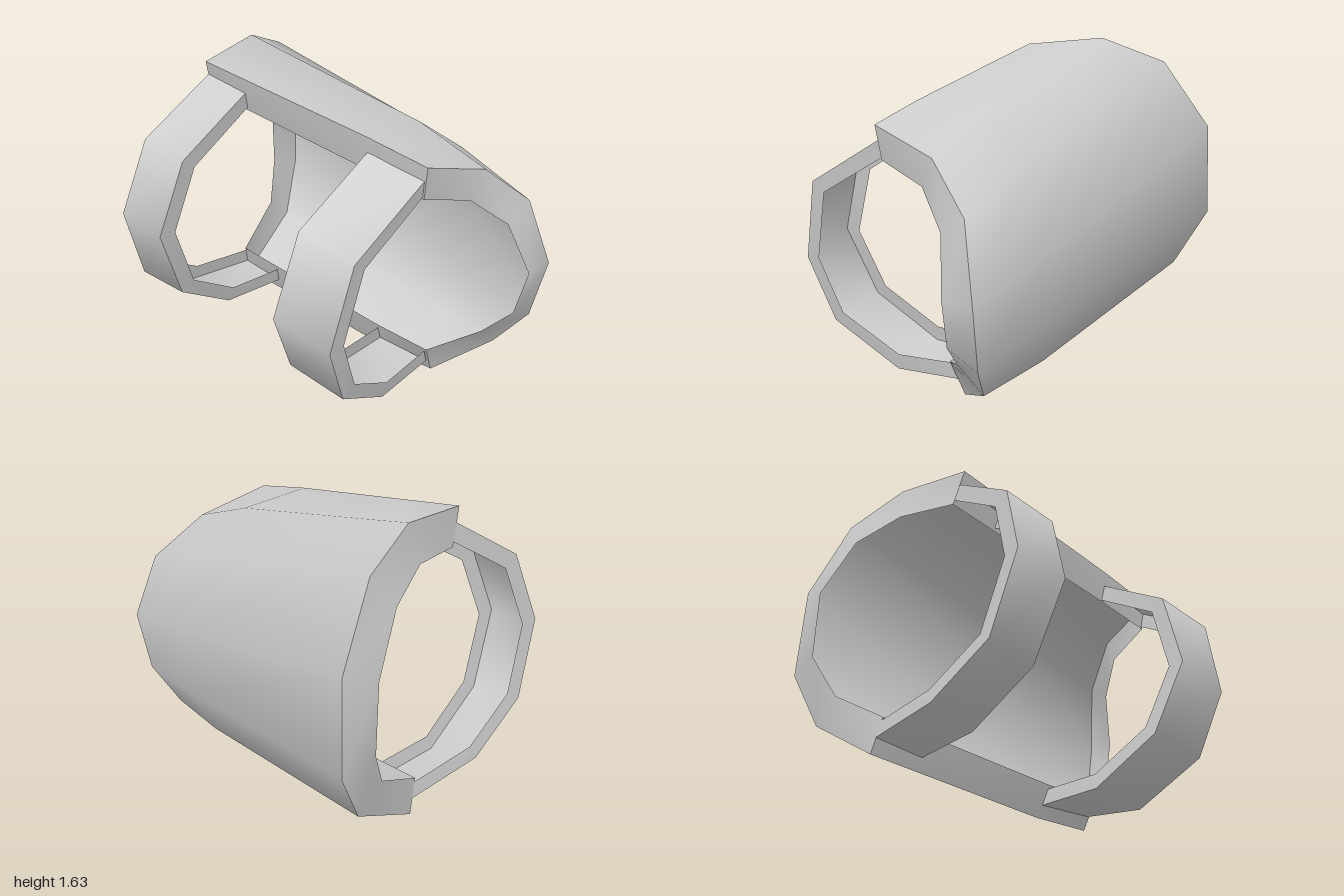
import * as THREE from 'three';
import { toCreasedNormals } from 'three/addons/utils/BufferGeometryUtils.js';

const material = new THREE.MeshStandardMaterial({ color: 0xcccccc, side: THREE.DoubleSide });

// Moves a point towards the tube's slightly tilted axis (z = 0, y = axisY)
function inset([x, y, z], axisY, f) {
  const dy = (axisY - y) * (1 - f);
  return [x + 0.15 * dy, y + dy, z * f];
}

// Hollow curved band: an outer skin lofted through outlines placed side by side,
// with inward flanges along both sides and, if wanted, lips across its two ends
function band(name, f, outlines, lips) {
  const w = outlines.length;
  const inner = outlines.map((o) => o.points.map((p) => inset(p, o.axisY, f)));
  const outer = outlines.map((o) => o.points);
  const last = outer[0].length - 1;
  const pos = [];
  const quad = (a, b, c, d) => pos.push(...a, ...b, ...c, ...a, ...c, ...d);

  for (let i = 0; i < last; i++) {
    const j = i + 1;
    for (let k = 0; k < w - 1; k++) quad(outer[k][i], outer[k + 1][i], outer[k + 1][j], outer[k][j]);
    quad(outer[w - 1][i], inner[w - 1][i], inner[w - 1][j], outer[w - 1][j]);
    quad(inner[0][i], outer[0][i], outer[0][j], inner[0][j]);
  }
  if (lips) {
    for (let k = 0; k < w - 1; k++) {
      quad(outer[k][0], inner[k][0], inner[k + 1][0], outer[k + 1][0]);
      quad(outer[k][last], outer[k + 1][last], inner[k + 1][last], inner[k][last]);
    }
  }
  const geo = new THREE.BufferGeometry();
  geo.setAttribute('position', new THREE.Float32BufferAttribute(pos, 3));
  const mesh = new THREE.Mesh(toCreasedNormals(geo, 0.95), material);
  mesh.name = name;
  return mesh;
}

export function createModel() {
  const group = new THREE.Group();
  group.name = 'armGuard';

  // Tapered half shell, from the top front edge round the back to the bottom,
  // with a slight bulge before the narrow end
  group.add(band('shell', 0.75, [
    { axisY: 0.84, points: [[-0.62, 1.58, 0.22], [-0.74, 1.63, -0.2], [-0.87, 1.51, -0.52],
      [-0.98, 1.16, -0.75], [-1, 0.67, -0.765], [-0.92, 0.36, -0.61], [-0.82, 0.12, -0.2]] },
    { axisY: 0.69, points: [[0.45, 1.4, 0.1], [0.43, 1.38, -0.3], [0.47, 1.18, -0.6],
      [0.5, 0.79, -0.73], [0.45, 0.41, -0.7], [0.35, 0.18, -0.6], [0.24, 0.01, -0.28]] },
    { axisY: 0.65, points: [[0.79, 1.33, 0.06], [0.83, 1.23, -0.33], [0.92, 1.02, -0.59],
      [1, 0.66, -0.7], [0.93, 0.34, -0.67], [0.78, 0.15, -0.58], [0.58, 0, -0.3]] },
  ], true));

  // Strap at the narrow end, from the top edge round the front to the bottom
  group.add(band('narrowStrap', 0.86, [
    { axisY: 0.65, points: [[0.77, 1.26, 0.05], [0.78, 0.99, 0.52], [0.74, 0.56, 0.63],
      [0.69, 0.23, 0.49], [0.61, 0.03, 0.12], [0.58, 0.07, -0.26]] },
    { axisY: 0.67, points: [[0.44, 1.32, 0.09], [0.44, 1.05, 0.54], [0.41, 0.63, 0.68],
      [0.35, 0.28, 0.52], [0.29, 0.08, 0.14], [0.25, 0.075, -0.25]] },
  ], false));

  // Strap at the wide end
  group.add(band('wideStrap', 0.87, [
    { axisY: 0.79, points: [[-0.36, 1.46, 0.16], [-0.35, 1.19, 0.6], [-0.39, 0.8, 0.74],
      [-0.45, 0.4, 0.58], [-0.52, 0.18, 0.21], [-0.54, 0.16, -0.21]] },
    { axisY: 0.83, points: [[-0.63, 1.51, 0.19], [-0.64, 1.24, 0.62], [-0.68, 0.85, 0.765],
      [-0.73, 0.44, 0.63], [-0.79, 0.24, 0.27], [-0.81, 0.2, -0.19]] },
  ], false));

  return group;
}
